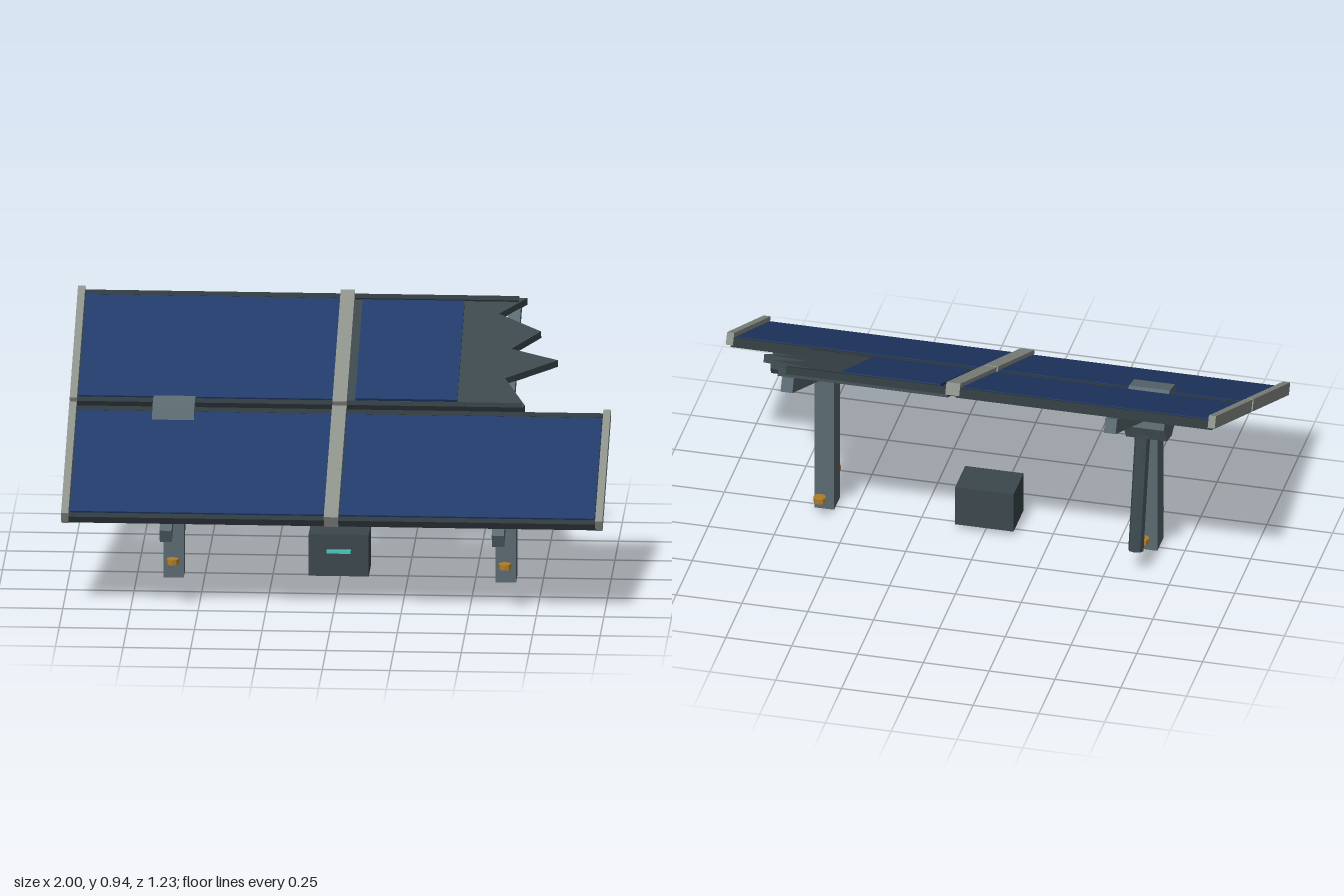
import * as THREE from 'three';

const mat = (color) => new THREE.MeshStandardMaterial({ color, flatShading: true });
const M = {
  steel: mat(0x5a6a70), strip: mat(0x8c918a), dark: mat(0x2f383c), broken: mat(0x3c484d),
  cell: mat(0x223a68), box: mat(0x3c484d), brass: mat(0xb07d2a), led: mat(0x4ac8b8),
};

function add(parent, name, geo, material, x, y, z) {
  const m = new THREE.Mesh(geo, material);
  m.name = name;
  m.position.set(x, y, z);
  parent.add(m);
  return m;
}

// Box given by its ranges on x, y and z
function slab(parent, name, material, [x0, x1], [y0, y1], [z0, z1]) {
  return add(parent, name, new THREE.BoxGeometry(x1 - x0, y1 - y0, z1 - z0), material,
    (x0 + x1) / 2, (y0 + y1) / 2, (z0 + z1) / 2);
}

const ROW = 0.3245;      // distance of each panel row from the array centre
const MID = -0.0265;     // array centre along the slope, from the pivot
const POST_X = 0.614;
const PIVOT = [0, 0.575, 0.02];

// Dark bars along the upper and lower edge of a panel
function edgeBars(parent, x0, xBack, xFront, c) {
  slab(parent, 'panelEdgeBar', M.dark, [x0, xBack], [0.046, 0.074], [c - 0.312, c - 0.287]);
  slab(parent, 'panelEdgeBar', M.dark, [x0, xFront], [0.046, 0.074], [c + 0.287, c + 0.312]);
}

function wholePanel(x0, x1, c) {
  const g = new THREE.Group();
  g.name = 'solarPanel';
  slab(g, 'panelBack', M.dark, [x0, x1], [0.037, 0.07], [c - 0.3, c + 0.3]);
  edgeBars(g, x0, x1, x1, c);
  slab(g, 'solarCells', M.cell, [x0 + 0.015, x1 - 0.015], [0.066, 0.077], [c - 0.283, c + 0.283]);
  return g;
}

function brokenPanel(c) {
  const g = new THREE.Group();
  g.name = 'brokenPanel';
  // Jagged outline as [x, distance down the slope]
  const outline = [[0.015, -0.04], [0.015, -0.66], [0.66, -0.66], [0.56, -0.57], [0.72, -0.475],
    [0.615, -0.375], [0.79, -0.315], [0.6, -0.21], [0.68, -0.06], [0.67, -0.04]];
  const shape = new THREE.Shape(outline.map(([x, u]) => new THREE.Vector2(x, -u)));
  const geo = new THREE.ExtrudeGeometry(shape, { depth: 0.032, bevelEnabled: false });
  geo.rotateX(-Math.PI / 2);
  add(g, 'brokenPanelBack', geo, M.broken, 0, 0.035, 0);
  edgeBars(g, 0.015, 0.63, 0.67, c);
  slab(g, 'solarCells', M.cell, [0.053, 0.43], [0.064, 0.077], [c - 0.278, c + 0.278]);
  return g;
}

export function createModel() {
  const model = new THREE.Group();
  model.name = 'solarArray';

  // Tilted array, turning about the torque tube
  const array = new THREE.Group();
  array.name = 'tiltedArray';
  array.position.set(...PIVOT);
  array.rotation.x = THREE.MathUtils.degToRad(25);
  model.add(array);

  const back = MID - ROW, front = MID + ROW;
  array.add(wholePanel(-0.985, -0.015, back));
  array.add(wholePanel(-0.985, -0.015, front));
  array.add(wholePanel(0.012, 0.985, front));
  array.add(brokenPanel(back));

  // Pale clamp strips at the panel sides
  for (const [c, xs] of [[back, [-0.987, -0.003]], [front, [-0.987, -0.003, 0.987]]]) {
    for (const x of xs) {
      const h = Math.abs(x) < 0.1 ? 0.0265 : 0.0135;
      slab(array, 'clampStrip', M.strip, [x - h, x + h], [0.045, 0.092], [c - 0.3135, c + 0.3135]);
    }
  }

  // Support rails under the panels
  for (const s of [-1, 1]) {
    slab(array, 'supportRail', M.steel, [s * POST_X - 0.0225, s * POST_X + 0.0225],
      [-0.018, 0.037], [MID - 0.665, MID + 0.665]);
  }

  // Torque tube and its drive housing
  const tube = new THREE.CylinderGeometry(0.041, 0.041, 1.64, 8).rotateZ(Math.PI / 2);
  add(model, 'torqueTube', tube, M.box, 0, PIVOT[1], PIVOT[2]);
  const drive = new THREE.CylinderGeometry(0.107, 0.107, 0.155, 8).rotateZ(Math.PI / 2);
  add(array, 'driveHousing', drive, M.steel, -POST_X, 0, 0).rotation.x = 0.2;

  // Posts with bolts before and behind
  for (const s of [-1, 1]) {
    const x = s * POST_X;
    slab(model, 'post', M.steel, [x - 0.0375, x + 0.0375], [0, 0.555], [-0.026, 0.066]);
    for (const z of [0.138, -0.098]) {
      add(model, 'bolt', new THREE.CylinderGeometry(0.023, 0.023, 0.02, 8), M.brass, x, 0.083, z);
    }
  }

  // Loose actuator strut behind the drive
  const strut = new THREE.CylinderGeometry(0.029, 0.029, 0.44, 8);
  add(model, 'actuatorStrut', strut, M.box, -POST_X, 0.318, -0.155).rotation.x =
    Math.atan2(0.102, 0.427);

  // Control box with its status light
  slab(model, 'controlBox', M.box, [-0.113, 0.109], [0.024, 0.184], [-0.058, 0.098]);
  slab(model, 'statusLight', M.led, [-0.047, 0.043], [0.114, 0.126], [0.096, 0.112]);

  return model;
}
